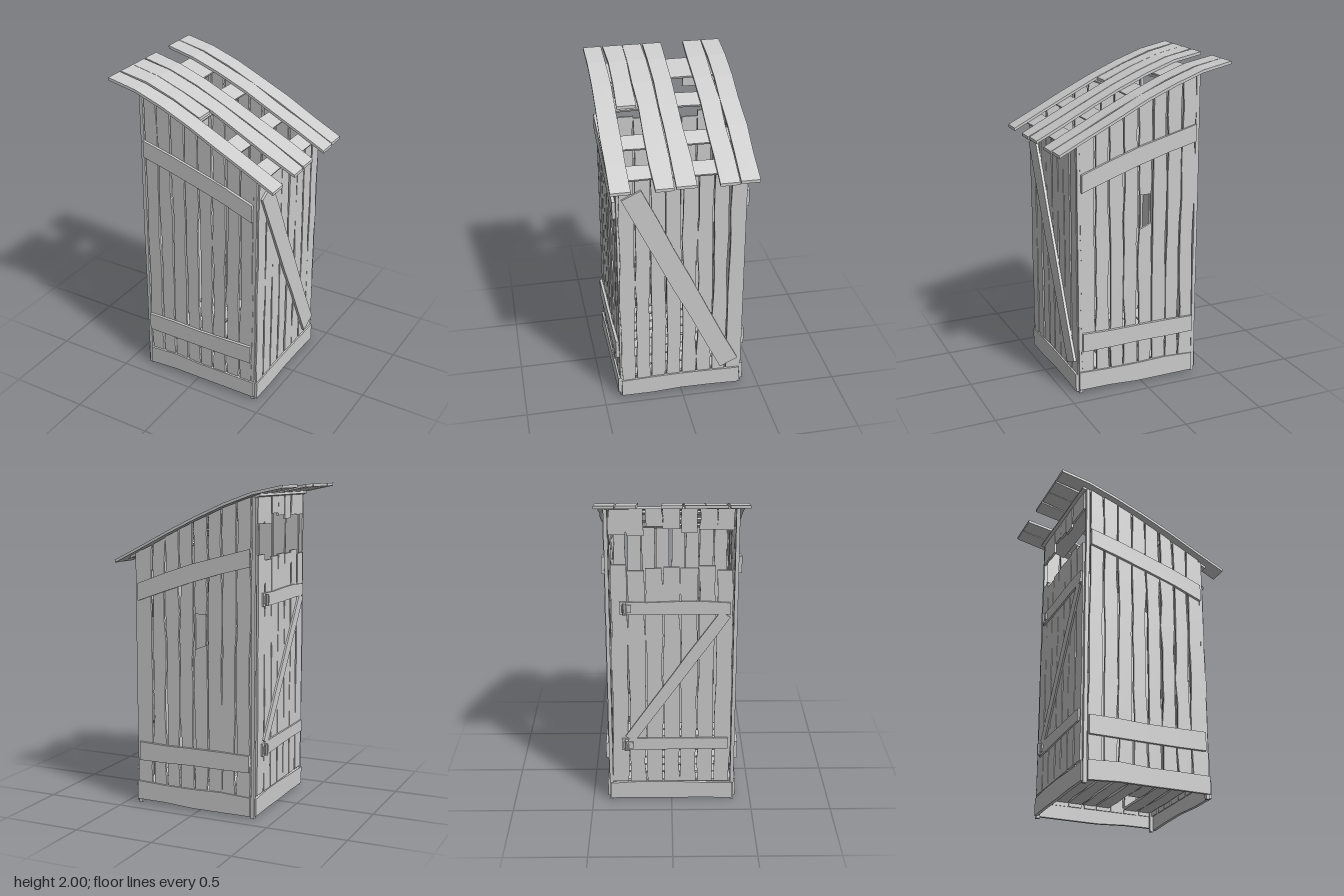
import * as THREE from 'three';

const mat = new THREE.MeshStandardMaterial({ color: 0xcccccc, flatShading: true });
const V = (x, y, z) => new THREE.Vector3(x, y, z);

// repeatable jitter in -1..1
let seed = 7;
const rnd = () => {
  seed = (seed * 16807) % 2147483647;
  return (seed / 2147483647) * 2 - 1;
};

// height of the sagging roof's underside along x
const roofCurve = [[-0.56, 1.985], [-0.37, 1.945], [-0.19, 1.88], [0, 1.797], [0.18, 1.708], [0.56, 1.515]];
function roofY(x) {
  for (let i = 1; i < roofCurve.length; i++) {
    const [x0, y0] = roofCurve[i - 1], [x1, y1] = roofCurve[i];
    if (x <= x1 || i === roofCurve.length - 1) return y0 + ((y1 - y0) * (x - x0)) / (x1 - x0);
  }
}

// rough-sawn board from a to b, its face looking along n;
// bend bows it sideways, slope cuts the far end, shear slants both ends
function board(group, name, a, b, width, thick, n, { wobble = 0.007, slope = 0, shear = 0, bend = 0, segs = 6 } = {}) {
  const len = a.distanceTo(b);
  const geo = new THREE.BoxGeometry(width, len, thick, 1, segs, 1);
  const edge = [0, 1].map(() => Array.from({ length: segs + 1 }, () => rnd() * wobble));
  const p = geo.attributes.position;
  for (let i = 0; i < p.count; i++) {
    const x = p.getX(i), y = p.getY(i);
    const t = y / len + 0.5;
    const k = Math.round(t * segs);
    p.setX(i, x + edge[x > 0 ? 1 : 0][k] + bend * Math.sin(Math.PI * t));
    p.setY(i, y + (shear + (k === segs ? slope : 0)) * x);
  }
  const up = b.clone().sub(a).normalize();
  const side = new THREE.Vector3().crossVectors(up, n).normalize();
  geo.applyMatrix4(new THREE.Matrix4().makeBasis(side, up, n.clone().normalize()));
  geo.computeVertexNormals();
  const mesh = new THREE.Mesh(geo, mat);
  mesh.position.copy(a).add(b).multiplyScalar(0.5);
  mesh.name = name;
  group.add(mesh);
  return mesh;
}

// front or back wall: planks cut to the roof line, two battens and a base board
function gableWall(name, s) {
  const g = new THREE.Group();
  g.name = name;
  const n = V(0, 0, s);
  const z = s * 0.388;
  for (let i = 0; i < 8; i++) {
    const x = -0.302 + i * 0.0945;
    const top = roofY(x) - 0.005;
    const slope = s * (roofY(x + 0.04) - roofY(x - 0.04)) / 0.08;
    const zi = z + rnd() * 0.003;
    if (s < 0 && i === 3) {
      // broken plank leaving a peep hole
      board(g, 'brokenPlankLower', V(x, 0.1, zi), V(x, 1.03, zi), 0.083, 0.016, n, { slope: 0.4 });
      board(g, 'brokenPlankUpper', V(x, 1.23, zi), V(x, top, zi), 0.083, 0.016, n, { slope });
    } else {
      board(g, 'wallPlank', V(x, 0.1, zi), V(x, top, zi), 0.083, 0.016, n, { slope, segs: 10 });
    }
  }
  board(g, 'upperBatten', V(-0.345, 1.58, s * 0.404), V(0.4, 1.345, s * 0.404), 0.106, 0.018, n,
    { wobble: 0.004, shear: s * 0.315, bend: s * -0.013, segs: 4 });
  board(g, 'lowerBatten', V(-0.345, 0.345, s * 0.404), V(0.4, 0.345, s * 0.404), 0.11, 0.018, n, { segs: 4 });
  board(g, 'baseBoard', V(-0.348, 0.08, s * 0.396), V(0.422, 0.08, s * 0.396), 0.118, 0.02, n, { segs: 4 });
  return g;
}

// low side wall with a diagonal brace
function bracedWall() {
  const g = new THREE.Group();
  g.name = 'bracedWall';
  const n = V(1, 0, 0);
  for (let i = 0; i < 8; i++) {
    const z = 0.338 - i * 0.0966;
    const x = 0.421 + rnd() * 0.003;
    board(g, 'wallPlank', V(x, 0.1, z), V(x, 1.57 + rnd() * 0.008, z), 0.086, 0.016, n, { segs: 10 });
  }
  board(g, 'diagonalBrace', V(0.437, 1.455, 0.305), V(0.437, 0.18, -0.305), 0.125, 0.016, n, { wobble: 0.004 });
  board(g, 'baseBoard', V(0.428, 0.07, 0.385), V(0.428, 0.07, -0.38), 0.118, 0.02, n, { segs: 4 });
  return g;
}

// tall side wall: hinged door with a Z brace and short planks above the opening
function doorWall() {
  const g = new THREE.Group();
  g.name = 'doorWall';
  const n = V(-1, 0, 0);
  for (let i = 0; i < 7; i++) {
    const z = -0.315 + i * 0.105;
    board(g, 'doorPlank', V(-0.374, 0.14, z), V(-0.374, 1.58 + rnd() * 0.03, z), 0.096, 0.014, n, { segs: 10 });
    board(g, 'headerPlank', V(-0.372, 1.8 + rnd() * 0.03, z), V(-0.372, 1.935, z), 0.097, 0.014, n, { segs: 2 });
  }
  for (const y of [1.325, 0.41]) {
    board(g, 'doorBatten', V(-0.386, y, -0.31), V(-0.386, y, 0.35), 0.075, 0.012, n, { segs: 4 });
    board(g, 'hingePlate', V(-0.396, y, -0.3), V(-0.396, y, -0.24), 0.045, 0.01, n, { wobble: 0, segs: 1 });
    const pin = new THREE.Mesh(new THREE.CylinderGeometry(0.012, 0.012, 0.07, 8), mat);
    pin.name = 'hingePin';
    pin.position.set(-0.403, y, -0.28);
    g.add(pin);
  }
  board(g, 'doorBrace', V(-0.386, 0.45, -0.26), V(-0.386, 1.285, 0.32), 0.07, 0.012, n, { wobble: 0.003 });
  board(g, 'baseBoard', V(-0.372, 0.07, -0.385), V(-0.372, 0.07, 0.385), 0.118, 0.02, n, { segs: 4 });
  return g;
}

// roof boards following the sag, laid on cross battens
function roof() {
  const g = new THREE.Group();
  g.name = 'roof';
  const rows = [[-0.38, 0.545], [-0.255, 0.55], [0, 0.545], [0.127, 0.55], [0.25, -0.01], [0.38, 0.55]];
  for (const [z, end] of rows) {
    const segs = end > 0 ? 6 : 3;
    const m = board(g, 'roofBoard', V(-0.555, 0, z), V(end, 0, z), 0.118, 0.018, V(0, 1, 0), { wobble: 0.005, segs });
    const p = m.geometry.attributes.position;
    for (let i = 0; i < p.count; i++) p.setY(i, p.getY(i) + roofY(p.getX(i) + m.position.x) + 0.008);
    m.geometry.computeVertexNormals();
  }
  for (const [x0, x1] of [[-0.4, -0.22], [-0.11, 0], [0.16, 0.265], [0.36, 0.465]]) {
    const x = (x0 + x1) / 2;
    const y = roofY(x) - 0.01;
    const n = V(roofY(x0) - roofY(x1), x1 - x0, 0).normalize();
    board(g, 'roofCrossBatten', V(x, y, -0.385), V(x, y, 0.385), x1 - x0, 0.014, n, { wobble: 0.004, segs: 4 });
  }
  return g;
}

// floor of loose planks, one of them broken short
function floor() {
  const g = new THREE.Group();
  g.name = 'floor';
  for (let i = 0; i < 8; i++) {
    const x = -0.31 + i * 0.095;
    board(g, 'floorPlank', V(x, 0.13, i === 5 ? -0.1 : -0.375), V(x, 0.13, 0.375), 0.083, 0.016, V(0, 1, 0));
  }
  return g;
}

export function createModel() {
  const model = new THREE.Group();
  model.name = 'plankHut';
  model.add(gableWall('frontWall', 1), gableWall('backWall', -1), bracedWall(), doorWall(), roof(), floor());
  // corner posts
  for (const x of [-0.362, 0.41]) {
    for (const z of [-0.382, 0.382]) {
      board(model, 'cornerPost', V(x, 0, z), V(x, roofY(x) - 0.01, z), 0.022, 0.022, V(0, 0, 1), { wobble: 0.002 });
    }
  }
  return model;
}
